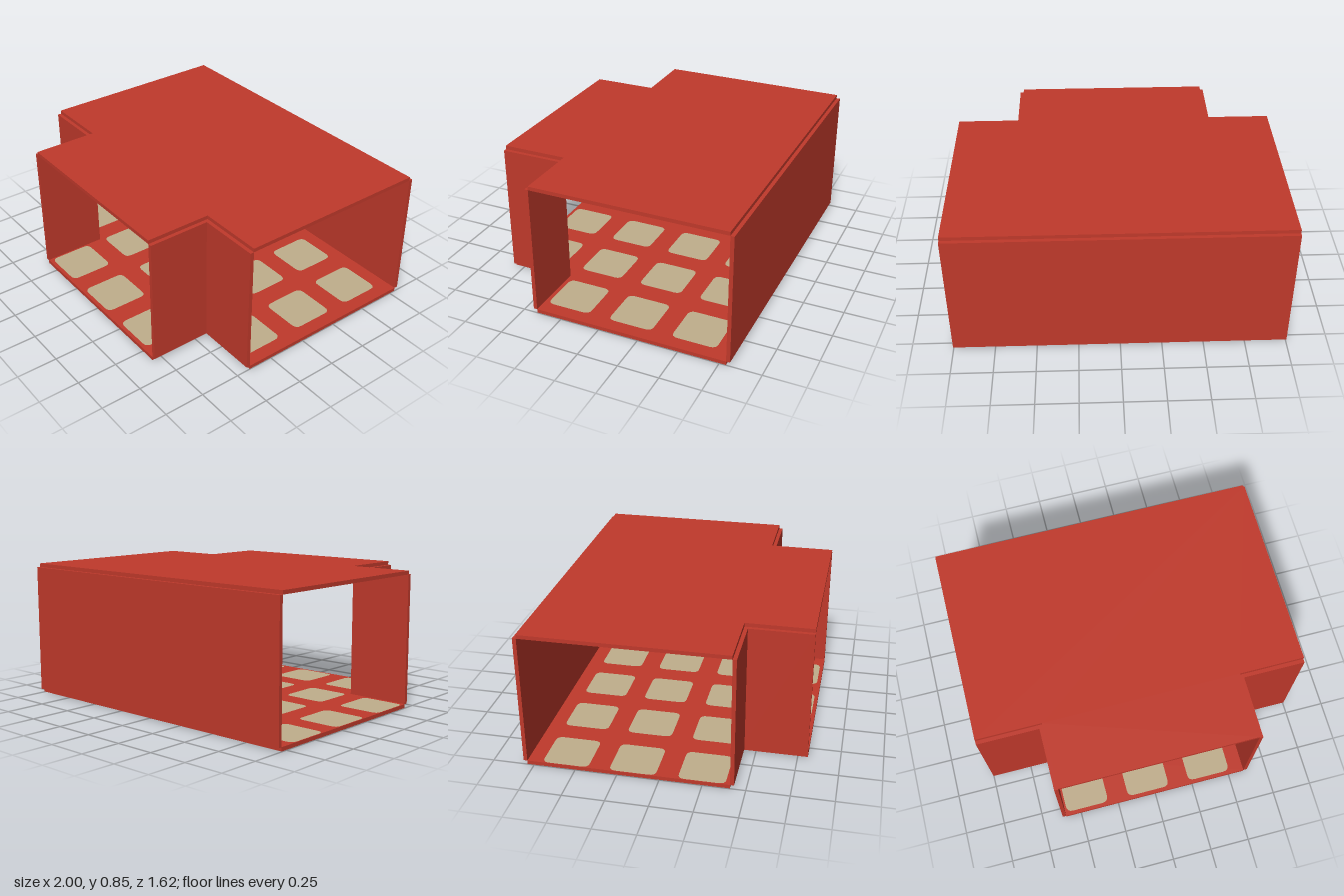
import * as THREE from 'three';

export function createModel() {
  const model = new THREE.Group();
  const red = new THREE.MeshStandardMaterial({ color: 0xc0392b });
  red.name = 'red panel';
  const beige = new THREE.MeshStandardMaterial({ color: 0xc0ae8c });
  beige.name = 'beige tile';

  const T = 0.023, H = 0.845; // panel thickness, total height
  const BACK = -0.79, SHOULDER = 0.41, FRONT = 0.81, STEM = 0.6;

  function add(name, geometry, material, x, y, z, parent = model) {
    const mesh = new THREE.Mesh(geometry, material);
    mesh.name = name;
    mesh.position.set(x, y, z);
    parent.add(mesh);
    return mesh;
  }

  // T-shaped floor and roof slabs (shape y becomes -z once laid flat)
  const outline = [[-1, BACK], [1, BACK], [1, SHOULDER], [STEM, SHOULDER],
    [STEM, FRONT], [-STEM, FRONT], [-STEM, SHOULDER], [-1, SHOULDER]];
  const slabShape = new THREE.Shape(outline.map(([x, z]) => new THREE.Vector2(x, -z)));
  const slab = new THREE.ExtrudeGeometry(slabShape, { depth: T, bevelEnabled: false });
  slab.rotateX(-Math.PI / 2);
  add('floor', slab, red, 0, 0, 0);
  add('roof', slab, red, 0, H - T, 0);

  // Walls stand between the slab levels, just outside their edges
  const wallH = H - 2 * T, midY = H / 2;
  add('backWall', new THREE.BoxGeometry(2, wallH, T), red, 0, midY, BACK - T / 2);
  for (const [side, s] of [['left', 1], ['right', -1]]) {
    add(side + 'PassageWall', new THREE.BoxGeometry(T, wallH, FRONT - SHOULDER), red,
      s * (STEM + T / 2), midY, (FRONT + SHOULDER) / 2);
    add(side + 'ShoulderWall', new THREE.BoxGeometry(1 - STEM - T, wallH, T), red,
      s * (1 + STEM + T) / 2, midY, SHOULDER + T / 2);
  }

  // Tile plates with softened corners, on both faces of the floor
  const h = 0.138, r = 0.04;
  const tileShape = new THREE.Shape();
  tileShape.moveTo(-h + r, -h);
  tileShape.lineTo(h - r, -h);
  tileShape.quadraticCurveTo(h, -h, h, -h + r);
  tileShape.lineTo(h, h - r);
  tileShape.quadraticCurveTo(h, h, h - r, h);
  tileShape.lineTo(-h + r, h);
  tileShape.quadraticCurveTo(-h, h, -h, h - r);
  tileShape.lineTo(-h, -h + r);
  tileShape.quadraticCurveTo(-h, -h, -h + r, -h);
  const tileTop = new THREE.ShapeGeometry(tileShape, 4).rotateX(-Math.PI / 2);
  const tileBottom = new THREE.ShapeGeometry(tileShape, 4).rotateX(Math.PI / 2);

  const tiles = new THREE.Group();
  tiles.name = 'floorTiles';
  model.add(tiles);
  for (const z of [-0.56, -0.16, 0.245, 0.65]) {
    for (const x of [-0.86, -0.45, -0.04, 0.37, 0.78]) {
      if (z > SHOULDER && Math.abs(x) > STEM) continue;
      add('floorTile', tileTop, beige, x, T + 0.002, z, tiles);
      add('undersideTile', tileBottom, beige, -x, -0.002, z, tiles);
    }
  }
  return model;
}
